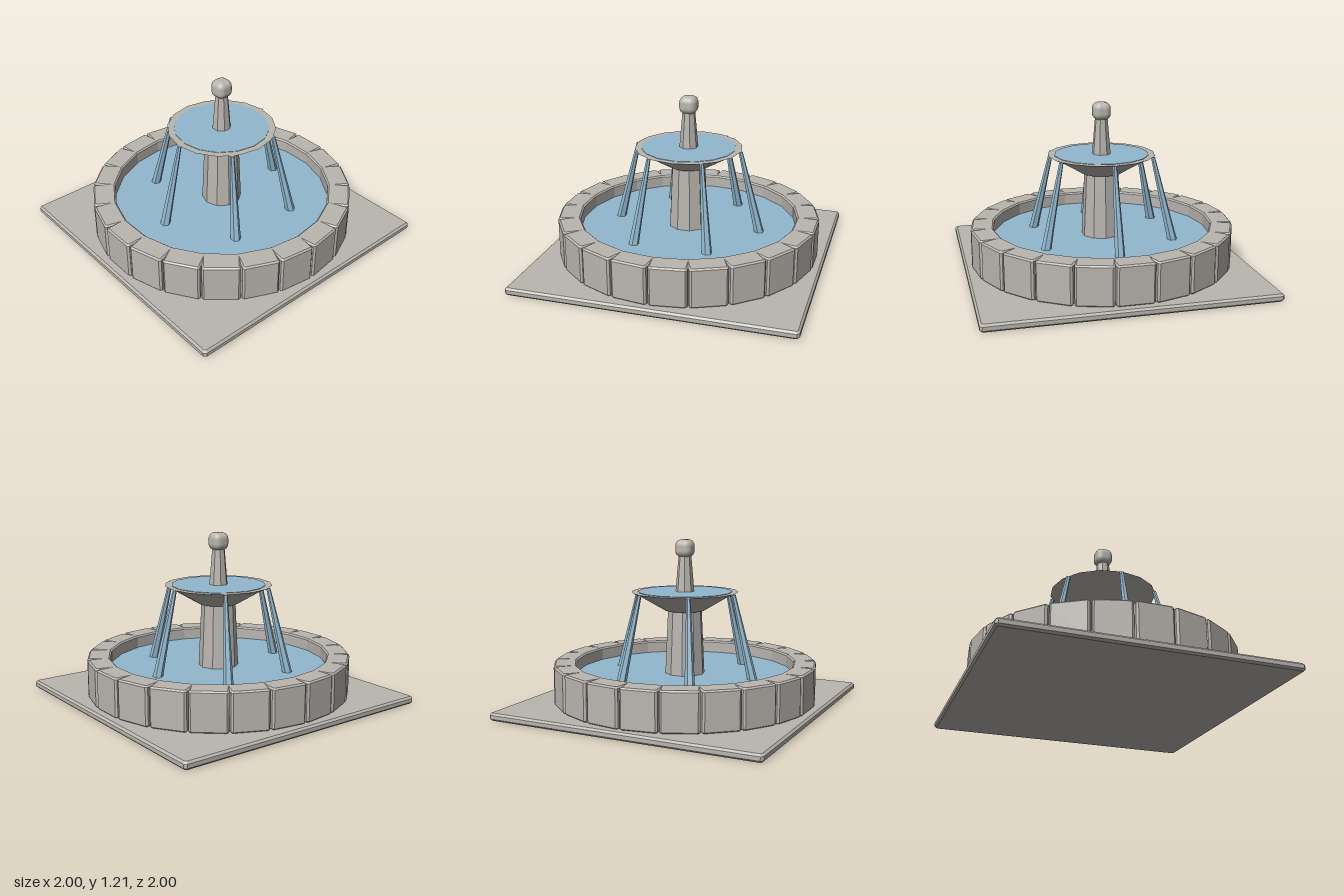
import * as THREE from 'three';

const stone = new THREE.MeshStandardMaterial({ color: 0xbab6b0 });
stone.name = 'stone';
const water = new THREE.MeshStandardMaterial({ color: 0x92b8ce });
water.name = 'water';

// Faceted copy of a geometry
function faceted(geometry) {
  const flat = geometry.index ? geometry.toNonIndexed() : geometry;
  flat.computeVertexNormals();
  return flat;
}

// Box standing on y = 0 with every edge chamfered by b
function chamferBox(w, h, d, b) {
  const x = w / 2 - b, z = d / 2 - b, c = b * 0.6;
  const corners = [[x, -z + c], [x, z - c], [x - c, z], [-x + c, z],
    [-x, z - c], [-x, -z + c], [-x + c, -z], [x - c, -z]];
  const shape = new THREE.Shape(corners.map(([px, py]) => new THREE.Vector2(px, py)));
  const geo = new THREE.ExtrudeGeometry(shape, {
    depth: h - 2 * b, bevelEnabled: true, bevelSegments: 1, bevelSize: b, bevelThickness: b,
  });
  return geo.rotateX(-Math.PI / 2).translate(0, b, 0);
}

// Faceted tapered post between two heights
function post(rTop, rBottom, y0, y1, sides, turn) {
  const geo = new THREE.CylinderGeometry(rTop, rBottom, y1 - y0, sides);
  return faceted(geo.rotateY(turn).translate(0, (y0 + y1) / 2, 0));
}

// Cube with its corners rounded, smooth normals
function roundedCube(half, radius, n) {
  const geo = new THREE.BoxGeometry(2 * half, 2 * half, 2 * half, n, n, n);
  const pos = geo.attributes.position, nor = geo.attributes.normal;
  const core = half - radius, p = new THREE.Vector3(), q = new THREE.Vector3();
  for (let i = 0; i < pos.count; i++) {
    p.fromBufferAttribute(pos, i);
    q.copy(p).clampScalar(-core, core);
    p.sub(q).normalize();
    nor.setXYZ(i, p.x, p.y, p.z);
    q.addScaledVector(p, radius);
    pos.setXYZ(i, q.x, q.y, q.z);
  }
  return geo;
}

export function createModel() {
  const model = new THREE.Group();
  model.name = 'fountain';
  const add = (name, geometry, material, parent = model) => {
    const mesh = new THREE.Mesh(geometry, material);
    mesh.name = name;
    parent.add(mesh);
    return mesh;
  };

  // Square base slab
  add('baseSlab', chamferBox(2, 0.055, 2, 0.014), stone);

  // Basin wall: ring of chamfered blocks
  const wall = new THREE.Group();
  wall.name = 'basinWall';
  model.add(wall);
  const blocks = 22, inner = 0.782, outer = 0.943;
  const blockGeo = chamferBox(outer - inner, 0.28, 0.256, 0.011)
    .translate((inner + outer) / 2, 0.052, 0);
  for (let i = 0; i < blocks; i++) {
    add('wallBlock', blockGeo, stone, wall).rotation.y = (i / blocks) * Math.PI * 2;
  }

  // Basin water
  add('basinWater', post(0.8, 0.8, 0.2, 0.24, blocks, 0), water);

  // Column, upper bowl and its water
  add('column', post(0.123, 0.153, 0.05, 0.71, 10, Math.PI / 2), stone);
  const bowlProfile = [[0, 0.7], [0.145, 0.7], [0.335, 0.812], [0.387, 0.834], [0, 0.834]]
    .map(([r, y]) => new THREE.Vector2(r, y));
  add('upperBowl', faceted(new THREE.LatheGeometry(bowlProfile, 16)), stone);
  add('bowlWater', post(0.34, 0.34, 0.83, 0.837, 16, 0), water);

  // Stem and finial
  add('stem', post(0.045, 0.068, 0.83, 1.1, 8, Math.PI / 8), stone);
  add('finial', roundedCube(0.063, 0.045, 8).translate(0, 1.146, 0), stone);

  // Water jets falling from the bowl rim
  const jets = new THREE.Group();
  jets.name = 'waterJets';
  model.add(jets);
  const jetGeo = post(0.015, 0.036, 0.235, 0.832, 6, 0);
  const pos = jetGeo.attributes.position;
  for (let i = 0; i < pos.count; i++) { // lean outward towards the foot
    const t = (pos.getY(i) - 0.235) / 0.597;
    pos.setX(i, pos.getX(i) + 0.53 + (0.38 - 0.53) * t);
  }
  faceted(jetGeo);
  for (let i = 0; i < 6; i++) {
    add('waterJet', jetGeo, water, jets).rotation.y = (i * Math.PI) / 3;
  }
  return model;
}
